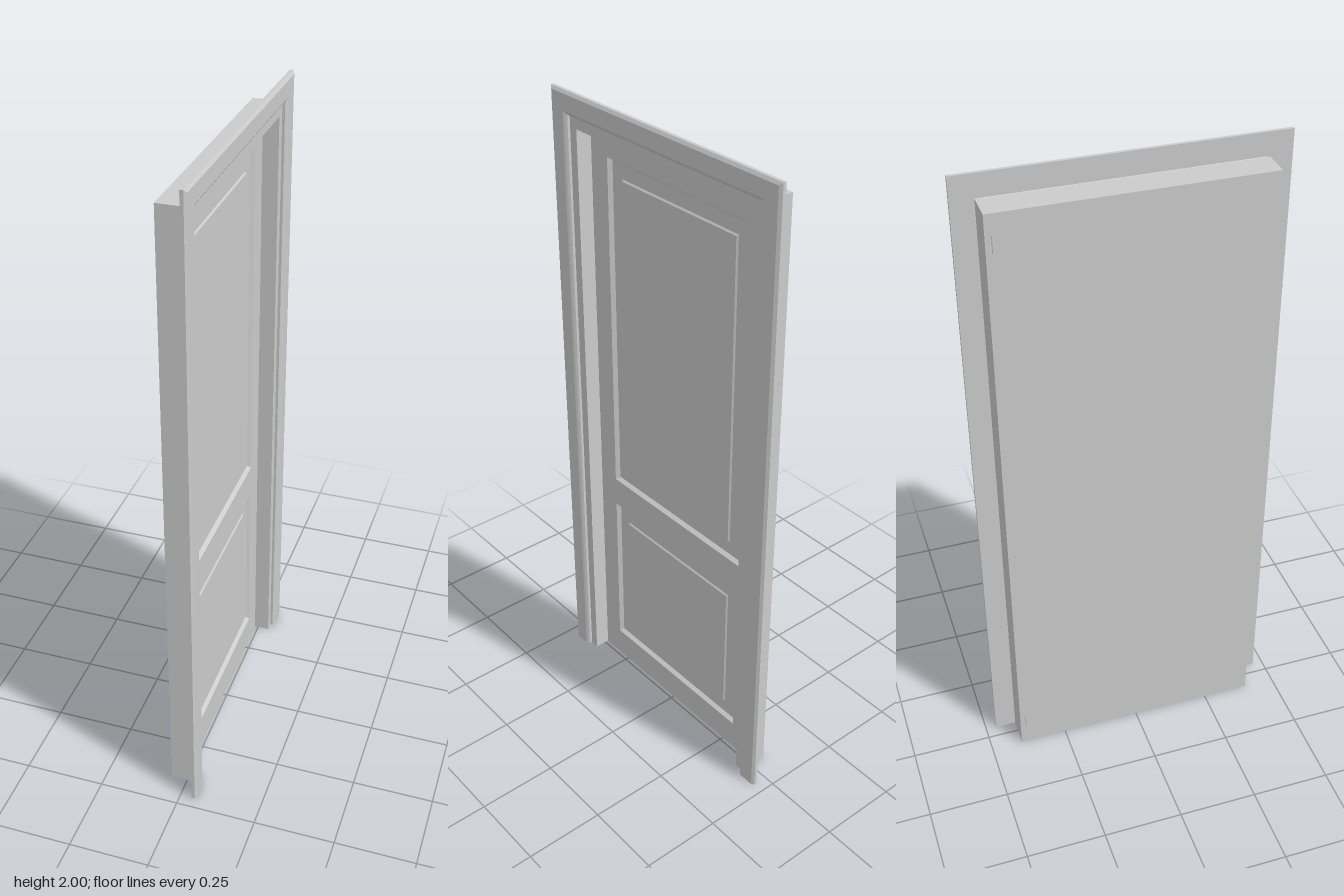
import * as THREE from 'three';

const BACK = -0.052, FACE = -0.012, JAMB_FRONT = 0.037;

export function createModel() {
  const group = new THREE.Group();
  const material = new THREE.MeshStandardMaterial({ color: 0xcccccc, flatShading: true });

  const add = (name, geometry) => {
    const mesh = new THREE.Mesh(geometry, material);
    mesh.name = name;
    group.add(mesh);
    return mesh;
  };

  // Box given by its limits on each axis
  const box = (name, x0, x1, y0, y1, z0, z1) =>
    add(name, new THREE.BoxGeometry(x1 - x0, y1 - y0, z1 - z0))
      .position.set((x0 + x1) / 2, (y0 + y1) / 2, (z0 + z1) / 2);

  // Flat-shaded geometry from rows of points joined by quads
  const loft = (rows, closed, caps) => {
    const out = [];
    const tri = (...pts) => pts.forEach(p => out.push(...p));
    for (let r = 0; r < rows.length - 1; r++) {
      const a = rows[r], b = rows[r + 1], n = a.length;
      for (let i = 0; i < (closed ? n : n - 1); i++) {
        const j = (i + 1) % n;
        tri(a[i], a[j], b[j]);
        tri(a[i], b[j], b[i]);
      }
    }
    for (const cap of caps)
      for (let i = 1; i < cap.length - 1; i++) tri(cap[0], cap[i], cap[i + 1]);
    const g = new THREE.BufferGeometry();
    g.setAttribute('position', new THREE.Float32BufferAttribute(out, 3));
    g.computeVertexNormals();
    return g;
  };

  // Jamb: two posts and a head
  for (const s of [1, -1]) {
    const z = [s * 0.368, s * 0.4].sort((a, b) => a - b);
    box(s > 0 ? 'leftJamb' : 'rightJamb', BACK, JAMB_FRONT, 0, 1.93, ...z);
  }
  box('headJamb', BACK, JAMB_FRONT, 1.895, 1.93, -0.368, 0.368);

  // Door leaf: stiles and rails
  box('leftStile', BACK, FACE, 0, 1.895, 0.295, 0.368);
  box('rightStile', BACK, FACE, 0, 1.895, -0.368, -0.295);
  for (const [name, y0, y1] of [['bottomRail', 0, 0.097], ['middleRail', 0.64, 0.737], ['topRail', 1.825, 1.895]])
    box(name, BACK, FACE, y0, y1, -0.295, 0.295);

  // Panels: moulded edge, sunk margin and raised field, in front of a flat back
  const panelSteps = [[0, FACE], [0.003, FACE - 0.004], [0.009, FACE - 0.012],
    [0.053, FACE - 0.012], [0.058, FACE - 0.008]];
  for (const [name, y0, y1] of [['lowerPanel', 0.097, 0.64], ['upperPanel', 0.737, 1.825]]) {
    const rows = panelSteps.map(([d, x]) => {
      const z = 0.295 - d;
      return [[x, y0 + d, z], [x, y0 + d, -z], [x, y1 - d, -z], [x, y1 - d, z]];
    });
    add(name, loft(rows, true, [rows[rows.length - 1]]));
    box(name + 'Back', BACK, FACE - 0.02, y0, y1, -0.295, 0.295);
  }

  // Mitred casing: a bevelled profile carried up, across and down
  const profile = [[0, JAMB_FRONT], [0, 0.045], [0.006, 0.05], [0.012, 0.053],
    [0.06, 0.053], [0.069, 0.047], [0.069, JAMB_FRONT]];
  const rows = profile.map(([d, x]) => {
    const z = 0.397 + d, y = 1.931 + d;
    return [[x, 0, z], [x, y, z], [x, y, -z], [x, 0, -z]];
  });
  const leftEnd = rows.map(r => r[0]);
  const rightEnd = rows.map(r => r[3]).reverse();
  add('casing', loft([...rows, rows[0]], false, [leftEnd, rightEnd]));

  // Small hinge knuckles on the back
  for (const [name, y] of [['lowerHinge', 0.1], ['upperHinge', 1.843]])
    add(name, new THREE.CylinderGeometry(0.003, 0.003, 0.05, 12)).position.set(-0.0515, y, -0.38);

  return group;
}
